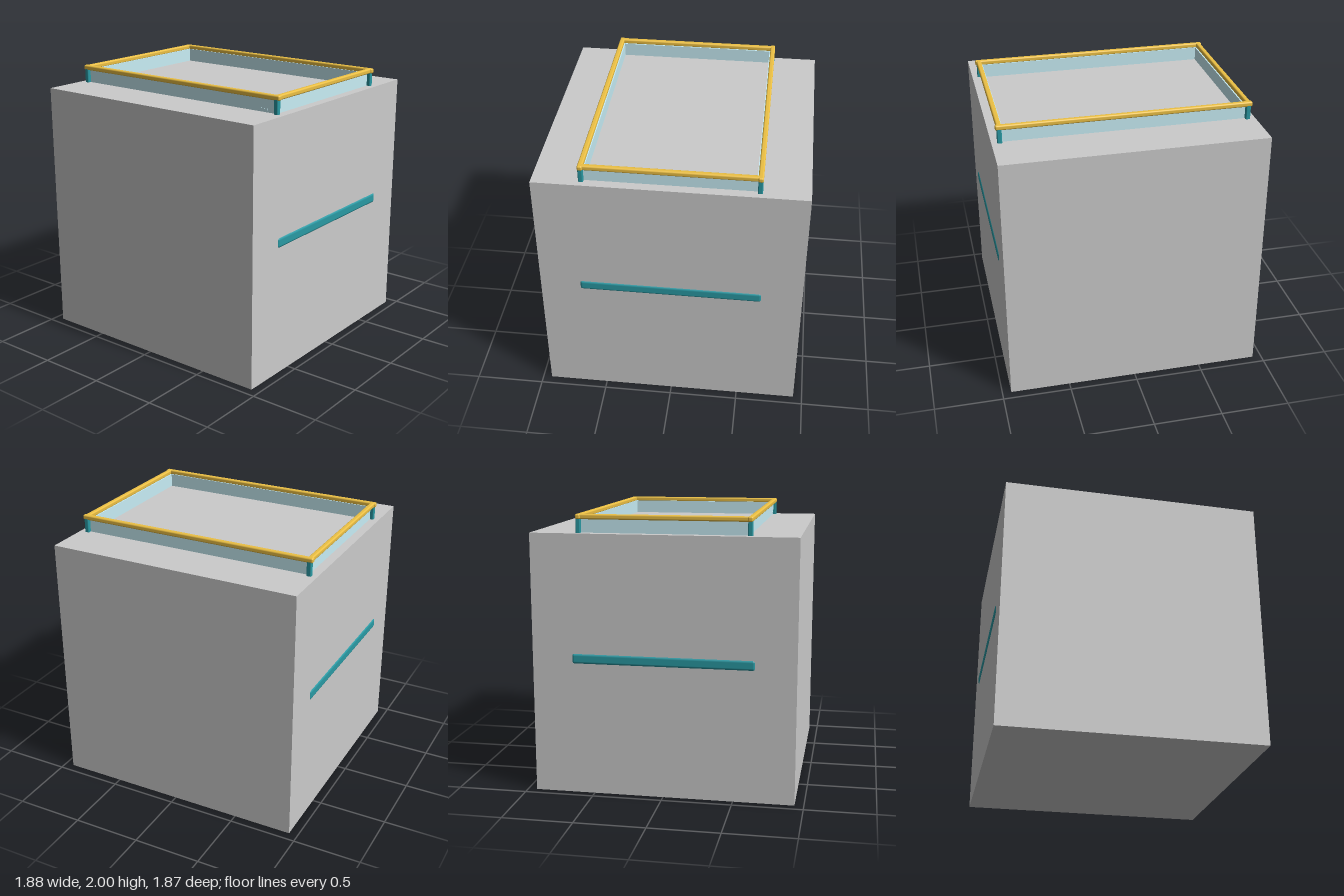
import * as THREE from 'three';
import { RoundedBoxGeometry } from 'three/addons/geometries/RoundedBoxGeometry.js';

const mat = (color) => new THREE.MeshStandardMaterial({ color });

export function createModel() {
  const model = new THREE.Group();
  const grey = mat(0xcccccc), gold = mat(0xecc044), teal = mat(0x2a9aa4), glass = mat(0xc8eef6);

  const add = (name, geometry, material, x, y, z) => {
    const mesh = new THREE.Mesh(geometry, material);
    mesh.name = name;
    mesh.position.set(x, y, z);
    model.add(mesh);
  };
  const box = (w, h, d) => new THREE.BoxGeometry(w, h, d);
  const rounded = (w, h, d, r) => new RoundedBoxGeometry(w, h, d, 3, r);

  // Main block
  const size = 1.87, top = size;
  add('block', box(size, size, size), grey, 0, size / 2, 0);

  // Railing measurements: post centres and rail thickness
  const px = 0.878, pz = 0.598, t = 0.036;
  const railY = 2 - t / 2, wallH = 2 - t - top;

  for (const s of [-1, 1]) {
    // Top rails: the long pair overlaps the ends of the short pair
    add(s > 0 ? 'frontRail' : 'backRail', rounded(1.81, t, t, 0.011), gold, 0, railY, s * pz);
    add(s > 0 ? 'leftRail' : 'rightRail', rounded(t, t, 2 * pz, 0.011), gold, s * px, railY, 0);

    // Thin panels under the rails, set slightly inside the posts
    add(s > 0 ? 'frontPanel' : 'backPanel', box(1.72, wallH + 0.01, 0.016), glass, 0, top + wallH / 2, s * 0.582);
    add(s > 0 ? 'leftPanel' : 'rightPanel', box(0.016, wallH + 0.01, 1.16), glass, s * 0.86, top + wallH / 2, 0);

    // Corner posts
    for (const q of [-1, 1]) {
      add('post', rounded(0.034, wallH + 0.03, 0.034, 0.008), teal, s * px, top + wallH / 2, q * pz);
    }

    // Trim bar standing just proud of each side
    add(s > 0 ? 'leftTrim' : 'rightTrim', rounded(0.06, 0.078, 1.3, 0.02), teal, s * 0.912, 0.988, 0);
  }

  // Small plate on the front panel
  add('plate', box(0.052, 0.012, 0.006), glass, 0.77, 1.89, 0.592);

  return model;
}
